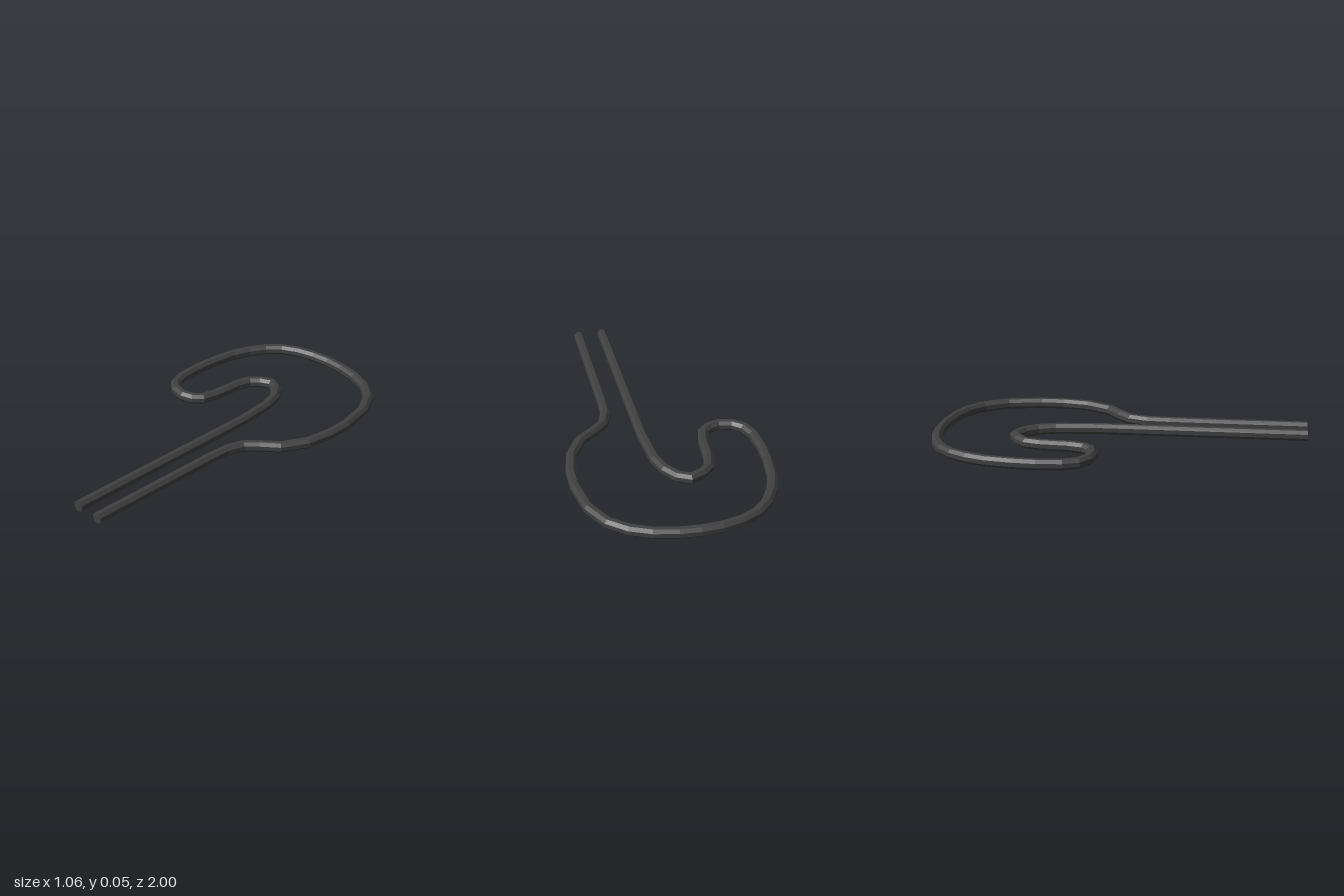
import * as THREE from 'three';

const SIDES = 8;
const HALF = 0.0275; // half the rod's thickness across flats

// Centreline of the bent rod, as [x, z], from one leg end to the other
const PATH = [
  // straight inner leg
  [0.085, 1], [0.08, -0.13], [0.06, -0.355],
  // small inner loop
  [0.03, -0.45], [-0.02, -0.52], [-0.08, -0.55], [-0.145, -0.52], [-0.19, -0.475], [-0.21, -0.4],
  // lower hook
  [-0.22, -0.24], [-0.24, -0.16], [-0.28, -0.12], [-0.335, -0.105], [-0.41, -0.12], [-0.465, -0.165], [-0.495, -0.24],
  // large outer loop
  [-0.505, -0.37], [-0.5, -0.49], [-0.48, -0.635], [-0.445, -0.735], [-0.395, -0.825], [-0.325, -0.895],
  [-0.235, -0.94], [-0.13, -0.965], [-0.025, -0.972], [0.08, -0.965], [0.2, -0.94], [0.305, -0.895],
  [0.395, -0.82], [0.465, -0.69], [0.5, -0.5], [0.5, -0.37], [0.475, -0.225], [0.405, -0.095],
  // neck and straight outer leg
  [0.32, -0.025], [0.26, 0.035], [0.23, 0.13], [0.225, 0.25], [0.225, 1],
].map(([x, z]) => new THREE.Vector2(x, z));

// Sweeps an octagon along a flat path with mitred corners and closed ends
function sweepRod(path) {
  const radius = HALF / Math.cos(Math.PI / SIDES);
  const last = path.length - 1;
  const positions = [];
  const index = [];
  const direction = (i) => path[i + 1].clone().sub(path[i]).normalize();

  path.forEach((p, i) => {
    const before = direction(Math.max(i - 1, 0));
    const after = direction(Math.min(i, last - 1));
    const t = before.clone().add(after).normalize();
    const mitre = 1 / t.dot(after);
    for (let j = 0; j < SIDES; j++) {
      const a = ((j + 0.5) / SIDES) * Math.PI * 2;
      const out = Math.cos(a) * radius * mitre;
      positions.push(p.x + t.y * out, HALF + Math.sin(a) * radius, p.y - t.x * out);
    }
  });

  for (let i = 0; i < last; i++) {
    for (let j = 0; j < SIDES; j++) {
      const k = (j + 1) % SIDES;
      const a = i * SIDES + j, b = i * SIDES + k;
      index.push(a, b, b + SIDES, a, b + SIDES, a + SIDES);
    }
  }
  // end caps
  const end = last * SIDES;
  for (let j = 1; j < SIDES - 1; j++) {
    index.push(0, j + 1, j, end, end + j, end + j + 1);
  }

  const indexed = new THREE.BufferGeometry();
  indexed.setAttribute('position', new THREE.Float32BufferAttribute(positions, 3));
  indexed.setIndex(index);
  const geometry = indexed.toNonIndexed();
  geometry.computeVertexNormals();
  return geometry;
}

export function createModel() {
  const model = new THREE.Group();
  model.name = 'bentRodLoop';
  const material = new THREE.MeshStandardMaterial({ color: 0x404040, flatShading: true });
  const rod = new THREE.Mesh(sweepRod(PATH), material);
  rod.name = 'bentRod';
  model.add(rod);
  return model;
}
